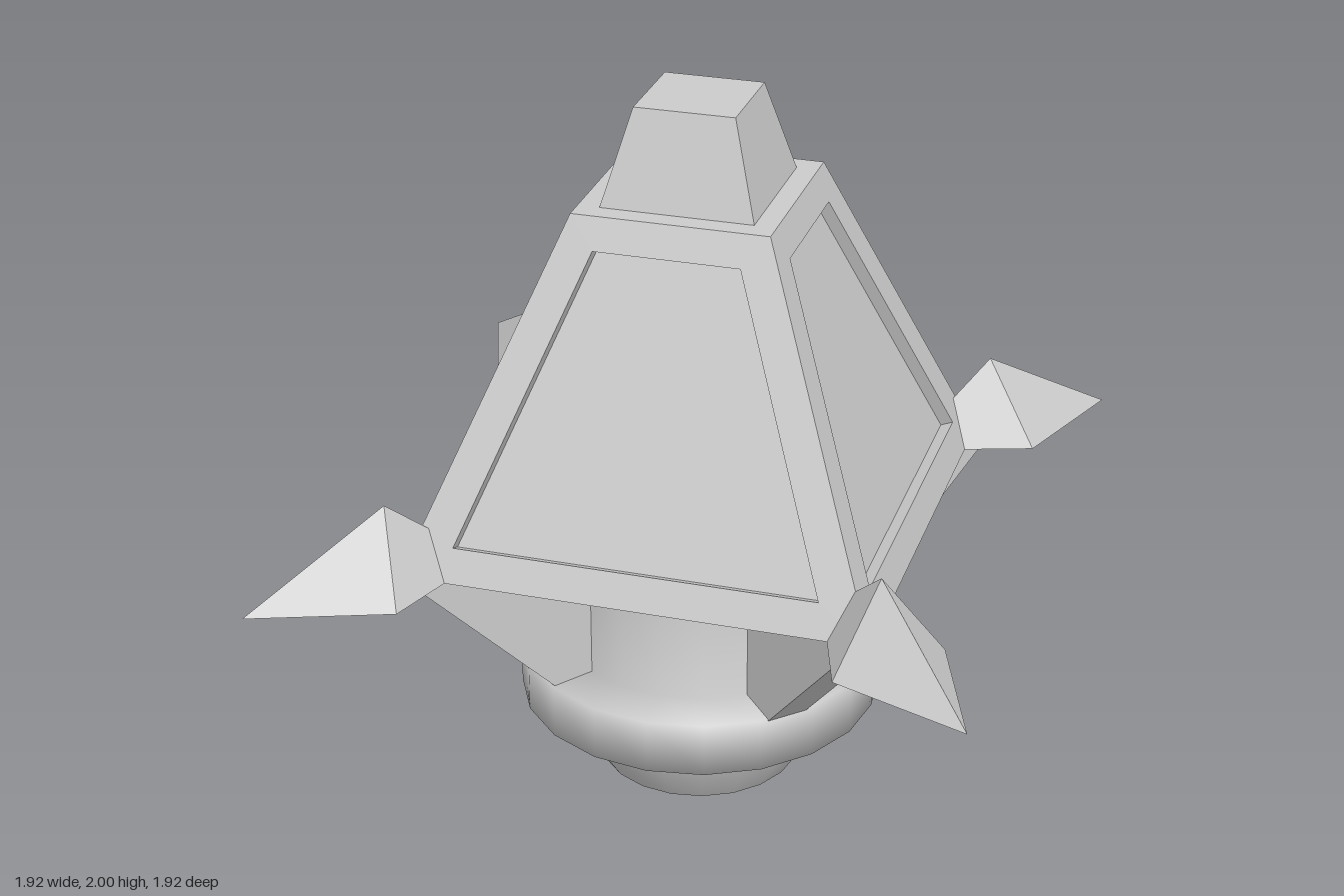
import * as THREE from 'three';
import { ConvexGeometry } from 'three/addons/geometries/ConvexGeometry.js';

const flat = new THREE.MeshStandardMaterial({ color: 0xcccccc, flatShading: true });
const smooth = new THREE.MeshStandardMaterial({ color: 0xcccccc, side: THREE.DoubleSide });
const v = (x, y, z) => new THREE.Vector3(x, y, z);

const BASE = 0.8, TOP = 1.74, HALF_BASE = 0.645, HALF_TOP = 0.27;
// half width of the tapered body at height y
const halfAt = y => HALF_BASE + (HALF_TOP - HALF_BASE) * (y - BASE) / (TOP - BASE);

function mesh(name, geometry, material = flat) {
  const m = new THREE.Mesh(geometry, material);
  m.name = name;
  return m;
}

// geometry from four-cornered faces, corners counter-clockwise from outside
function quads(list) {
  const pts = list.flatMap(([a, b, c, d]) => [a, b, c, a, c, d]);
  const g = new THREE.BufferGeometry().setFromPoints(pts);
  g.computeVertexNormals();
  return g;
}

// trapezoid lying on the sloping front face
function trapezoid(y0, w0, y1, w1) {
  return [v(-w0, y0, halfAt(y0)), v(w0, y0, halfAt(y0)), v(w1, y1, halfAt(y1)), v(-w1, y1, halfAt(y1))];
}

// one side of the body: frame, recess walls and sunken panel
function sideGeometry() {
  const outer = trapezoid(BASE, HALF_BASE, TOP, HALF_TOP);
  const rim = trapezoid(0.89, 0.5, 1.655, 0.2);
  const sunk = rim.map(p => p.clone().add(v(0, -0.014, -0.034)));
  const faces = [sunk];
  for (const [a, b] of [[outer, rim], [rim, sunk]]) {
    for (let i = 0; i < 4; i++) {
      const j = (i + 1) % 4;
      faces.push([a[i], a[j], b[j], b[i]]);
    }
  }
  return quads(faces);
}

function square(h, y) {
  return [v(-h, y, h), v(h, y, h), v(h, y, -h), v(-h, y, -h)];
}

export function createModel() {
  const model = new THREE.Group();
  model.name = 'model';

  // tapered four-sided body with recessed panels
  const core = new THREE.Group();
  core.name = 'core';
  core.position.set(-0.01, 0, -0.01);
  const side = sideGeometry();
  for (let i = 0; i < 4; i++) {
    const s = mesh('bodySide', side);
    s.rotation.y = i * Math.PI / 2;
    core.add(s);
  }
  core.add(mesh('bodyEnds', quads([square(HALF_TOP, TOP), square(HALF_BASE, BASE).reverse()])));

  // small tapered block on top
  const cap = mesh('topCap', new THREE.CylinderGeometry(0.138 * Math.SQRT2, 0.21 * Math.SQRT2, 0.26, 4).rotateY(Math.PI / 4));
  cap.position.y = 1.87;
  core.add(cap);

  // hollow bowl, collar and neck turned in one piece
  const profile = [
    [0.285, 0], [0.33, 0.07], [0.365, 0.15], [0.385, 0.22],
    [0.51, 0.22], [0.51, 0.375], [0.39, 0.39], [0.39, 0.8],
  ].map(([x, y]) => new THREE.Vector2(x, y));
  core.add(mesh('neckAndCollar', new THREE.LatheGeometry(profile, 20), smooth));
  model.add(core);

  // diagonal fins under the body corners
  const finShape = new THREE.Shape([[0.36, 0.37], [0.49, 0.37], [0.9, 0.8], [0.36, 0.8]]
    .map(([x, y]) => new THREE.Vector2(x, y)));
  const finGeometry = new THREE.ExtrudeGeometry(finShape, { depth: 0.12, bevelEnabled: false });
  finGeometry.translate(0, 0, -0.06).rotateY(-Math.PI / 4);

  // kite-based pyramid spike at each corner
  const spikeGeometry = new ConvexGeometry([
    v(0.96, BASE, 0.96), v(0.822, BASE, 0.585), v(0.47, BASE, 0.47),
    v(0.585, BASE, 0.822), v(0.67, 1.03, 0.67),
  ]);
  for (let i = 0; i < 4; i++) {
    const corner = new THREE.Group();
    corner.name = 'corner';
    corner.rotation.y = i * Math.PI / 2;
    corner.add(mesh('fin', finGeometry), mesh('spike', spikeGeometry));
    model.add(corner);
  }
  return model;
}
